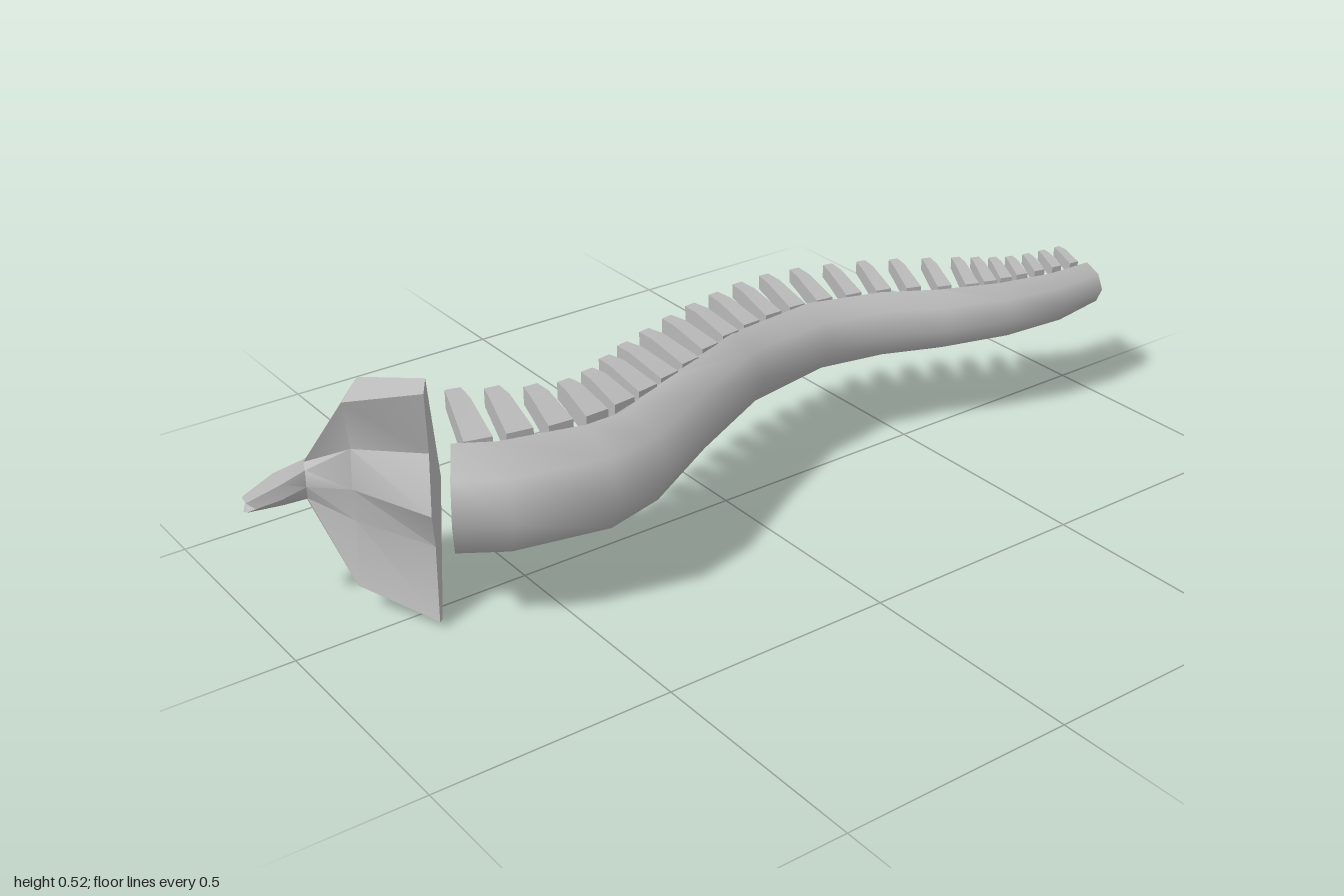
import * as THREE from 'three';
import { toCreasedNormals } from 'three/addons/utils/BufferGeometryUtils.js';

const MID = 0.24; // height of the symmetry plane
const lerp = THREE.MathUtils.lerp;

// Closed skin over rings of [x, y, z] points, with both ends capped
function loft(rings, crease) {
  const n = rings[0].length, last = (rings.length - 1) * n, index = [];
  for (let i = 0; i < rings.length - 1; i++) {
    for (let j = 0; j < n; j++) {
      const a = i * n + j, b = i * n + (j + 1) % n, c = a + n, d = b + n;
      index.push(a, c, b, b, c, d);
    }
  }
  for (let j = 1; j < n - 1; j++) {
    index.push(0, j, j + 1, last, last + j + 1, last + j);
  }
  const g = new THREE.BufferGeometry();
  g.setAttribute('position', new THREE.Float32BufferAttribute(rings.flat(2), 3));
  g.setIndex(index);
  return toCreasedNormals(g, crease);
}

// Body: outer edge x, z, then width and half height, from tail to neck
const bodyStations = [
  [0.10, -1.0, 0.085, 0.05], [0.115, -0.87, 0.09, 0.06], [0.10, -0.72, 0.1, 0.066],
  [0.055, -0.57, 0.105, 0.071], [0.0, -0.45, 0.11, 0.076], [-0.033, -0.30, 0.118, 0.081],
  [0.0, -0.10, 0.125, 0.087], [0.10, 0.10, 0.14, 0.094], [0.21, 0.29, 0.165, 0.105],
  [0.243, 0.43, 0.18, 0.113], [0.20, 0.635, 0.185, 0.115], [0.14, 0.73, 0.18, 0.114],
];
// Cross-section: share of the width inward, share of the half height
const bodySection = [[1, 0.6], [0.62, 1], [0.18, 0.66], [0, 0], [0.18, -0.66], [0.62, -1], [1, -0.6]];

function bodyGeometry() {
  const rings = bodyStations.map(([x, z, width, half], i) => {
    const p = bodyStations[Math.max(i - 1, 0)];
    const q = bodyStations[Math.min(i + 1, bodyStations.length - 1)];
    const inward = new THREE.Vector2(p[1] - q[1], q[0] - p[0]).normalize();
    if (i === 0) inward.set(-1, 0);
    return bodySection.map(([s, h]) =>
      [x + inward.x * s * width, MID + h * half, z + inward.y * s * width]);
  });
  return loft(rings, 1.1);
}

// Head: back, fin outer edge, fin inner edge, fin root, ridge; mirrored below
const headStations = [
  [[-0.04, 0.24, 0.65], [0.04, 0.498, 0.71], [0.067, 0.483, 0.73], [0.033, 0.34, 0.71], [0.087, 0.24, 0.742]],
  [[-0.195, 0.24, 0.74], [-0.105, 0.463, 0.775], [-0.075, 0.437, 0.825], [-0.108, 0.318, 0.80], [-0.095, 0.24, 0.81]],
  [[-0.222, 0.24, 0.82], [-0.2, 0.275, 0.85], [-0.18, 0.28, 0.865], [-0.165, 0.27, 0.87], [-0.155, 0.24, 0.875]],
  [[-0.215, 0.236, 0.91], [-0.2, 0.265, 0.92], [-0.175, 0.27, 0.925], [-0.155, 0.262, 0.925], [-0.145, 0.236, 0.93]],
  [[-0.185, 0.236, 0.985], [-0.18, 0.25, 0.99], [-0.165, 0.255, 1.0], [-0.15, 0.25, 1.0], [-0.142, 0.236, 0.985]],
];

function headGeometry() {
  const rings = headStations.map((half) => {
    const mirrored = half.slice(1, 4).reverse().map(([x, y, z]) => [x, 2 * MID - y, z]);
    return [...half, ...mirrored];
  });
  return loft(rings, 0.6);
}

// Lines through the tips and the roots of the spines, from neck to tail
const flatCurve = (points) =>
  new THREE.CatmullRomCurve3(points.map(([x, z]) => new THREE.Vector3(x, 0, z)));
const tipLine = flatCurve([[-0.1, 0.58], [-0.02, 0.38], [-0.105, 0.185], [-0.195, -0.05],
  [-0.243, -0.285], [-0.19, -0.52], [-0.095, -0.72], [-0.042, -0.836], [-0.032, -0.98]]);
const rootLine = flatCurve([[0.06, 0.62], [0.09, 0.375], [0.026, 0.16], [-0.07, -0.065],
  [-0.11, -0.275], [-0.075, -0.49], [0.005, -0.68], [0.02, -0.82], [0.03, -0.975]]);

function spineGeometry(t, side) {
  const root = rootLine.getPoint(t), tip = tipLine.getPoint(t);
  const out = tip.clone().sub(root).normalize();
  const across = new THREE.Vector3(0, 1, 0).cross(out);
  const ring = (c, offset, halfY, halfW) =>
    [[-1, -1], [1, -1], [1, 1], [-1, 1]].map(([v, w]) => [
      c.x + across.x * w * halfW,
      MID + side * offset + v * halfY,
      c.z + across.z * w * halfW,
    ]);
  const bend = root.clone().lerp(tip, 0.7);
  return loft([
    ring(root, lerp(0.088, 0.035, t), lerp(0.025, 0.015, t), lerp(0.028, 0.012, t)),
    ring(bend, lerp(0.118, 0.052, t), lerp(0.023, 0.013, t), lerp(0.021, 0.01, t)),
    ring(tip, lerp(0.122, 0.056, t), lerp(0.02, 0.011, t), lerp(0.016, 0.008, t)),
  ], 0.3);
}

export function createModel() {
  const model = new THREE.Group();
  const grey = new THREE.MeshStandardMaterial({ color: 0xb8b8b8 });
  grey.name = 'grey';

  const add = (parent, name, geometry) => {
    const mesh = new THREE.Mesh(geometry, grey);
    mesh.name = name;
    parent.add(mesh);
  };
  add(model, 'body', bodyGeometry());
  add(model, 'finnedHead', headGeometry());

  // Two rows of spines along the inner side of the body
  const count = 25;
  for (const [name, side] of [['upperSpines', 1], ['lowerSpines', -1]]) {
    const row = new THREE.Group();
    row.name = name;
    for (let i = 0; i < count; i++) add(row, 'spine', spineGeometry(i / (count - 1), side));
    model.add(row);
  }
  return model;
}
